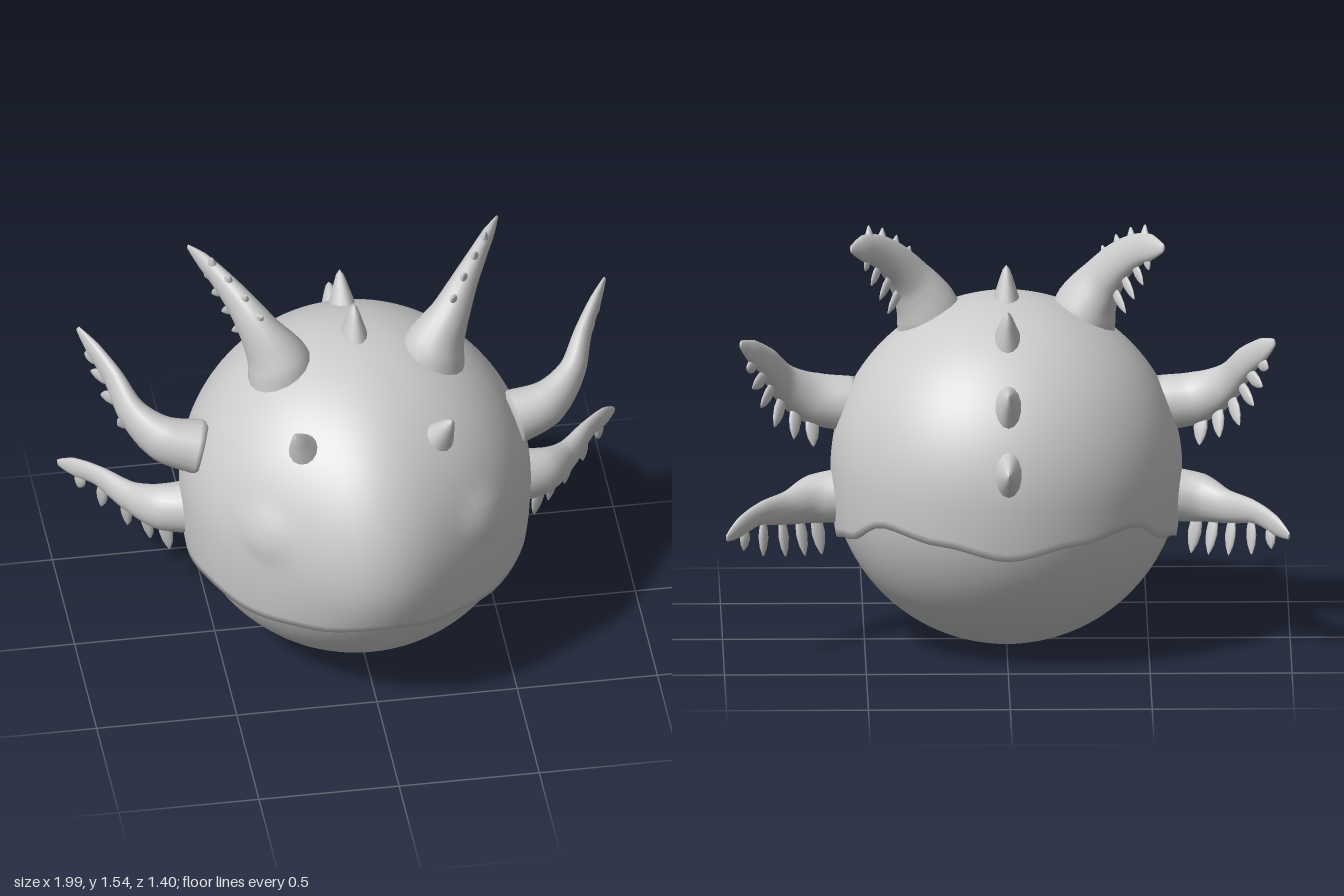
import * as THREE from 'three';

const V = (x, y, z) => new THREE.Vector3(x, y, z);
const material = new THREE.MeshStandardMaterial({ color: 0xcccccc, roughness: 0.8, side: THREE.DoubleSide });

function addMesh(parent, geometry, name) {
  const mesh = new THREE.Mesh(geometry, material);
  mesh.name = name;
  parent.add(mesh);
  return mesh;
}

// Skin joining closed rings of equal vertex count
function skin(rings) {
  const n = rings[0].length, index = [];
  for (let i = 0; i < rings.length - 1; i++) {
    for (let j = 0; j < n; j++) {
      const a = i * n + j, b = i * n + (j + 1) % n;
      index.push(a, b, a + n, b, b + n, a + n);
    }
  }
  const g = new THREE.BufferGeometry().setFromPoints(rings.flat());
  g.setIndex(index);
  g.computeVertexNormals();
  return g;
}

// Height of the shell's wavy lip, every 22.5 degrees from front to back
const LIP = [0.44, 0.40, 0.387, 0.41, 0.385, 0.43, 0.52, 0.485, 0.44];
function lipHeight(phi) {
  const u = Math.min(Math.abs(phi) / Math.PI * 8, 7.999), i = Math.floor(u);
  return THREE.MathUtils.lerp(LIP[i], LIP[i + 1], THREE.MathUtils.smoothstep(u - i, 0, 1));
}

// Rounded upper shell with a pointed snout and slight eye bulges
function shellGeometry() {
  const rings = [], n = 80, rows = 40;
  for (let i = -1; i <= rows; i++) {
    const ring = [];
    for (let j = 0; j < n; j++) {
      const phi = (j / n) * 2 * Math.PI - Math.PI;
      const low = Math.asin((lipHeight(phi) - 0.63) / 0.625);
      const e = THREE.MathUtils.lerp(low, Math.PI / 2, Math.max(i, 0) / rows);
      const c = Math.cos(e);
      let r = 0.62 * (e < 0 ? 1 - (1 - c) * 0.4 : c);
      r += 0.08 * Math.exp(-((phi / 0.38) ** 2)) * Math.pow(Math.max(c, 0), e < 0 ? 10 : 2);
      if (i < 0) r = 0.55;
      const p = V(r * Math.sin(phi), 0.63 + 0.625 * Math.sin(e), r * Math.cos(phi));
      const d = p.distanceTo(V(Math.sign(p.x) * 0.4, 0.76, 0.47));
      const bulge = 1 + 0.025 * Math.exp(-((d / 0.09) ** 4));
      p.x *= bulge;
      p.z *= bulge;
      ring.push(p);
    }
    rings.push(ring);
  }
  return skin(rings);
}

// Unit spike: radius 1 at the skin, height 1
const spikeGeometry = new THREE.LatheGeometry(
  [[1.15, -0.35], [0.95, 0], [0.72, 0.28], [0.48, 0.6], [0.25, 0.87], [0, 1]].map(p => new THREE.Vector2(...p)), 14);
// Unit leaf plate, from root to tip
const leafGeometry = new THREE.LatheGeometry(
  [[0.5, 0], [0.9, 0.3], [1, 0.5], [0.75, 0.75], [0.3, 0.93], [0, 1]].map(p => new THREE.Vector2(...p)), 10);

function addAlong(parent, geometry, name, root, dir, side, scale) {
  const y = dir.clone().normalize();
  const z = side.clone().cross(y).normalize();
  const x = y.clone().cross(z);
  const m = addMesh(parent, geometry, name);
  m.quaternion.setFromRotationMatrix(new THREE.Matrix4().makeBasis(x, y, z));
  m.position.copy(root);
  m.scale.set(...scale);
}

// Curved limb: stations are [x, y, z, radius], flattening into a blade at the tip
function limb({ name, stations, down, tips, from, to, leafWidth, nubs = [] }, s) {
  const group = new THREE.Group();
  group.name = (s > 0 ? 'left' : 'right') + name;
  const curve = new THREE.CatmullRomCurve3(stations.map(p => V(p[0] * s, p[1], p[2])));
  const frame = t => {
    const u = Math.min(t * (stations.length - 1), stations.length - 1.001), k = Math.floor(u);
    const T = curve.getTangent(t);
    const D = V(down[0] * s, down[1], down[2]);
    D.addScaledVector(T, -D.dot(T)).normalize();
    return {
      P: curve.getPoint(t), T, D, N: T.clone().cross(D),
      r: THREE.MathUtils.lerp(stations[k][3], stations[k + 1][3], u - k),
      flat: THREE.MathUtils.lerp(1, 0.4, t),
    };
  };
  const rings = [], n = 18, rows = 28;
  for (let i = -1; i <= rows + 1; i++) {
    const t = THREE.MathUtils.clamp(i / rows, 0, 1), f = frame(t);
    const r = i < 0 || i > rows ? 0.0005 : f.r * Math.min(1, Math.sqrt((1 - t) / 0.12 + 0.15));
    rings.push(Array.from({ length: n }, (_, j) => {
      const a = (j / n) * 2 * Math.PI;
      return f.P.clone().addScaledVector(f.D, r * Math.cos(a)).addScaledVector(f.N, r * f.flat * Math.sin(a));
    }));
  }
  addMesh(group, skin(rings), 'limb');
  // Fringe of leaf plates along the lower edge
  tips.forEach((tip, i) => {
    const f = frame(THREE.MathUtils.lerp(from, to, i / (tips.length - 1)));
    const root = f.P.clone().addScaledVector(f.D, f.r * 0.5);
    const dir = V(tip[0] * s, tip[1], tip[2]).sub(root);
    addAlong(group, leafGeometry, 'fringeLeaf', root, dir, f.T, [leafWidth, dir.length(), leafWidth * 0.4]);
  });
  // Small nubs along the upper edge
  nubs.forEach(t => {
    const f = frame(t);
    const up = f.D.clone().negate();
    addAlong(group, spikeGeometry, 'nub', f.P.clone().addScaledVector(up, f.r * 0.93), up, f.T, [0.02, 0.035, 0.014]);
  });
  return group;
}

const LIMBS = [
  {
    name: 'Horn', down: [0.1, -0.6, -0.5], from: 0.45, to: 0.85, leafWidth: 0.02, nubs: [0.48, 0.6, 0.72, 0.83],
    stations: [[0.26, 1.11, 0.04, 0.125], [0.28, 1.2, 0.03, 0.125], [0.34, 1.31, 0, 0.092],
      [0.40, 1.395, -0.06, 0.075], [0.47, 1.46, -0.15, 0.058], [0.55, 1.495, -0.28, 0.036]],
    tips: [[0.42, 1.22, -0.13], [0.45, 1.28, -0.17], [0.48, 1.34, -0.2], [0.5, 1.40, -0.22]],
  },
  {
    name: 'UpperFin', down: [0.1, -0.8, -0.4], from: 0.25, to: 0.85, leafWidth: 0.028,
    stations: [[0.55, 0.85, 0.04, 0.1], [0.68, 0.88, 0.01, 0.093], [0.78, 0.95, -0.06, 0.07],
      [0.84, 1.05, -0.16, 0.056], [0.94, 1.16, -0.31, 0.036]],
    tips: [[0.68, 0.72, -0.06], [0.75, 0.76, -0.11], [0.82, 0.82, -0.17], [0.87, 0.91, -0.24],
      [0.90, 0.99, -0.28], [0.92, 1.06, -0.29]],
  },
  {
    name: 'LowerFin', down: [0.1, -1, -0.1], from: 0.25, to: 0.85, leafWidth: 0.026,
    stations: [[0.55, 0.54, -0.03, 0.1], [0.68, 0.53, -0.06, 0.088], [0.77, 0.52, -0.14, 0.062],
      [0.88, 0.53, -0.28, 0.04], [0.99, 0.485, -0.43, 0.034]],
    tips: [[0.65, 0.33, -0.07], [0.71, 0.34, -0.13], [0.78, 0.355, -0.2], [0.86, 0.38, -0.29], [0.93, 0.42, -0.36]],
  },
];

export function createModel() {
  const model = new THREE.Group();
  model.name = 'hornedCreature';

  addMesh(model, shellGeometry(), 'upperShell');
  const belly = addMesh(model, new THREE.SphereGeometry(0.618, 64, 24, 0, Math.PI * 2, 1.65, Math.PI - 1.65), 'belly');
  belly.position.y = 0.623;

  // Row of spikes down the middle of the back
  const centre = V(0, 0.63, 0);
  [[1.37, -0.02], [1.28, -0.35], [1.04, -0.6], [0.775, -0.7]].forEach(([y, z]) => {
    const dir = V(0, y, z).sub(centre);
    const root = centre.clone().addScaledVector(dir.clone().normalize(), 0.61);
    addAlong(model, spikeGeometry, 'backSpike', root, dir, V(1, 0, 0), [0.052, dir.length() - 0.61, 0.088]);
  });

  for (const s of [1, -1]) {
    // Short spike on each brow
    const root = V(0.24 * s, 1.055, 0.375);
    const dir = V(0.28 * s, 1.16, 0.43).sub(root);
    addAlong(model, spikeGeometry, 'browSpike', root, dir, V(1, 0, 0), [0.06, dir.length(), 0.06]);
    LIMBS.forEach(spec => model.add(limb(spec, s)));
  }
  return model;
}
